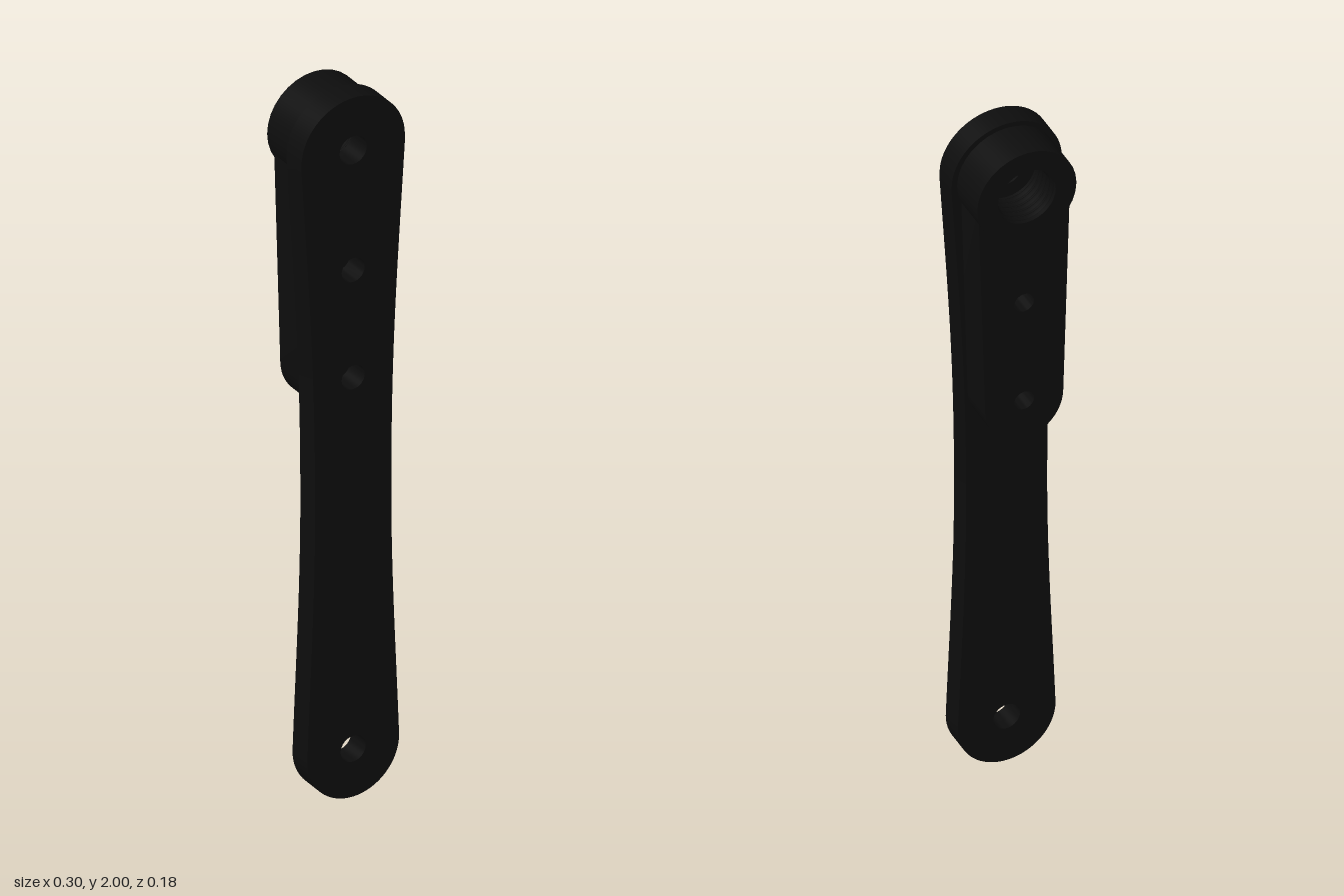
import * as THREE from 'three';
import { toCreasedNormals } from 'three/addons/utils/BufferGeometryUtils.js';

const PIVOT_Y = 1.85, FOOT_Y = 0.137, BOLT_YS = [1.507, 1.2];

// Circular hole given as [y, radius]
function addHoles(shape, holes) {
  for (const [y, r] of holes) {
    const path = new THREE.Path();
    path.absarc(0, y, r, 0, Math.PI * 2, true);
    shape.holes.push(path);
  }
  return shape;
}

// Extrude a shape between two z planes
function slab(shape, zBack, zFront) {
  const geo = new THREE.ExtrudeGeometry(shape, {
    depth: zFront - zBack, bevelEnabled: false, curveSegments: 16,
  });
  geo.translate(0, 0, zBack);
  return toCreasedNormals(geo, 0.5);
}

export function createModel() {
  const group = new THREE.Group();
  const black = new THREE.MeshStandardMaterial({ color: 0x0d0d0d });
  black.name = 'black';
  const add = (name, geo) => {
    const mesh = new THREE.Mesh(geo, black);
    mesh.name = name;
    group.add(mesh);
  };

  // Long front arm: round ends joined by a waisted shank
  const arm = new THREE.Shape();
  arm.moveTo(0.135, FOOT_Y);
  arm.bezierCurveTo(0.125, 0.4, 0.112, 0.6, 0.112, 0.85);
  arm.bezierCurveTo(0.112, 1.25, 0.128, 1.45, 0.152, 1.83);
  arm.absellipse(0, PIVOT_Y, 0.152, 0.15, 0, Math.PI, false);
  arm.lineTo(-0.152, 1.83);
  arm.bezierCurveTo(-0.128, 1.45, -0.112, 1.25, -0.112, 0.85);
  arm.bezierCurveTo(-0.112, 0.6, -0.125, 0.4, -0.135, FOOT_Y);
  arm.absellipse(0, FOOT_Y, 0.135, 0.137, Math.PI, Math.PI * 2, false);
  addHoles(arm, [[PIVOT_Y, 0.04], [FOOT_Y, 0.037], ...BOLT_YS.map((y) => [y, 0.034])]);
  add('frontArm', slab(arm, 0.023, 0.092));

  // Shorter tapered plate bolted behind the arm
  const plate = new THREE.Shape();
  plate.moveTo(0.108, 1.2);
  plate.lineTo(0.127, PIVOT_Y);
  plate.absarc(0, PIVOT_Y, 0.127, 0, Math.PI, false);
  plate.lineTo(-0.108, 1.2);
  plate.absellipse(0, 1.2, 0.108, 0.12, Math.PI, Math.PI * 2, false);
  addHoles(plate, [[PIVOT_Y, 0.08], ...BOLT_YS.map((y) => [y, 0.027])]);
  add('backPlate', slab(plate, -0.077, 0.023));

  // Round boss around the pivot
  const boss = new THREE.Shape();
  boss.absarc(0, PIVOT_Y, 0.137, 0, Math.PI * 2, false);
  addHoles(boss, [[PIVOT_Y, 0.08]]);
  add('pivotBoss', slab(boss, -0.092, 0.023));

  // Thread ridges inside the pivot bore
  for (let i = 0; i < 5; i++) {
    const ridge = new THREE.TorusGeometry(0.08, 0.007, 6, 32);
    ridge.translate(0, PIVOT_Y, -0.075 + i * 0.02);
    add('boreThread', ridge);
  }
  return group;
}
